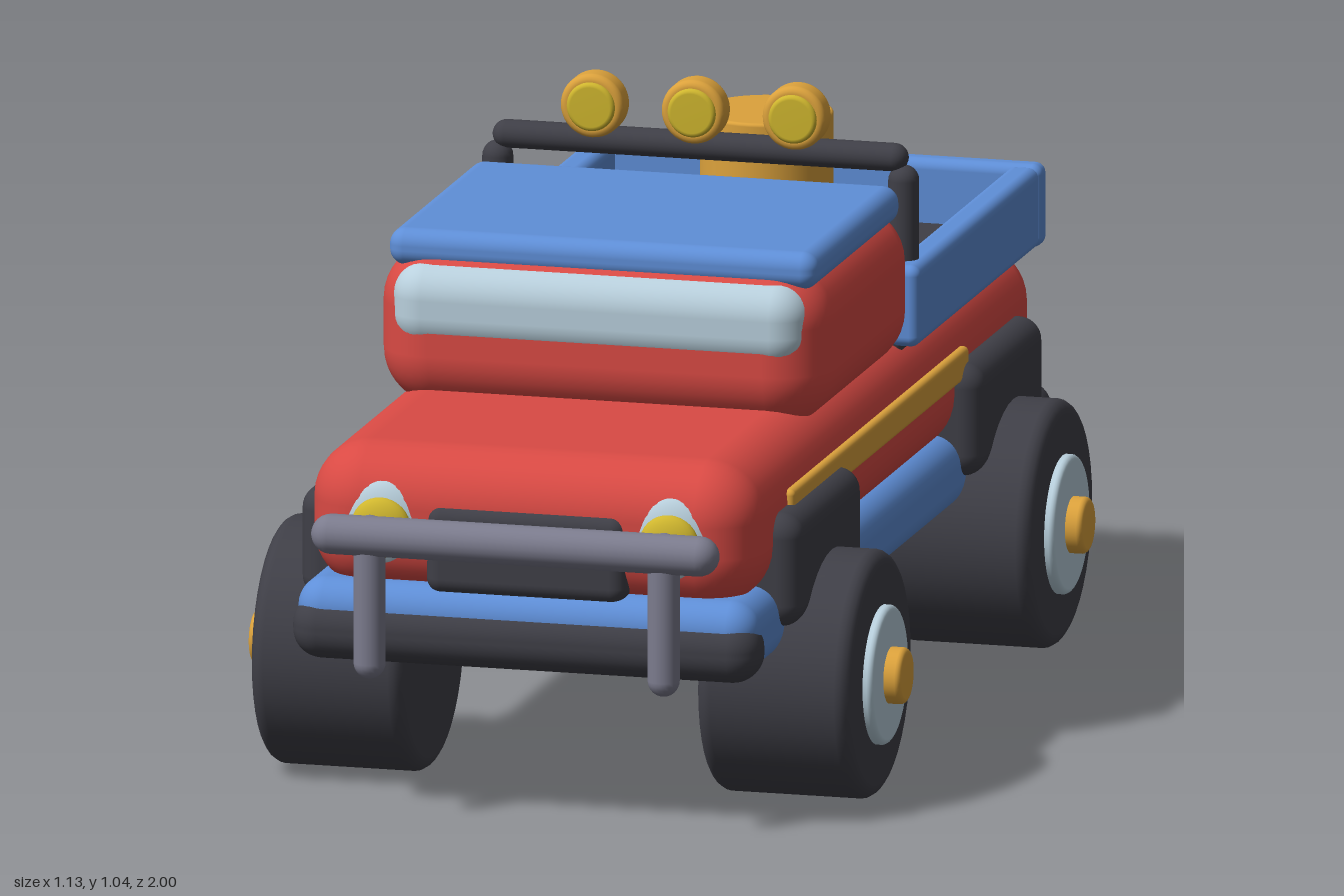
import * as THREE from 'three';
import { RoundedBoxGeometry } from 'three/addons/geometries/RoundedBoxGeometry.js';

const mat = (name, color) => Object.assign(new THREE.MeshStandardMaterial({ color }), { name });

export function createModel() {
  const model = new THREE.Group();
  model.name = 'pickupTruck';
  const red = mat('red paint', 0xd94a44);
  const blue = mat('blue paint', 0x5f8fd8);
  const glass = mat('pale blue', 0xb9d0dd);
  const dark = mat('dark rubber', 0x3f3f47);
  const gold = mat('gold', 0xdca23c);
  const yellow = mat('yellow lens', 0xcfb62e);
  const grey = mat('grey metal', 0x7c7c8e);

  const add = (name, geo, material, x = 0, y = 0, z = 0) => {
    const m = new THREE.Mesh(geo, material);
    m.name = name;
    m.position.set(x, y, z);
    model.add(m);
    return m;
  };
  // rounded box given by its limits on each axis
  const box = (name, material, [x0, x1], [y0, y1], [z0, z1], r) =>
    add(name, new RoundedBoxGeometry(x1 - x0, y1 - y0, z1 - z0, 5, r), material,
      (x0 + x1) / 2, (y0 + y1) / 2, (z0 + z1) / 2);
  // disc with bevelled rims along y, centred on the origin
  const disc = (r, h, b) => {
    const pts = [new THREE.Vector2(0, -h / 2)];
    for (const s of [-1, 1]) {
      for (let i = 0; i <= 4; i++) {
        const a = (s < 0 ? -Math.PI / 2 : 0) + (i / 4) * Math.PI / 2;
        pts.push(new THREE.Vector2(r - b + b * Math.cos(a), s * (h / 2 - b) + b * Math.sin(a)));
      }
    }
    pts.push(new THREE.Vector2(0, h / 2));
    return new THREE.LatheGeometry(pts, 40);
  };
  // capsule of total length len along y
  const rod = (r, len) => new THREE.CapsuleGeometry(r, len - 2 * r, 6, 20);

  // Chassis and body
  box('chassis', blue, [-0.4, 0.4], [0.27, 0.4], [-0.93, 0.92], 0.05);
  box('body', red, [-0.39, 0.39], [0.37, 0.625], [-0.945, 0.9], 0.1);
  box('cabin', red, [-0.39, 0.39], [0.585, 0.865], [-0.17, 0.46], 0.1);
  box('roof', blue, [-0.372, 0.372], [0.828, 0.892], [-0.13, 0.422], 0.028);
  box('windshield', glass, [-0.362, 0.362], [0.692, 0.842], [0.3, 0.466], 0.06);
  box('rearWindow', glass, [-0.362, 0.362], [0.692, 0.842], [-0.176, -0.01], 0.06);

  // Cargo bed
  box('bedFloor', dark, [-0.36, 0.36], [0.58, 0.645], [-0.9, -0.16], 0.015);
  box('tailgate', blue, [-0.398, 0.398], [0.605, 0.748], [-0.96, -0.913], 0.018);
  for (const s of [-1, 1]) {
    box('bedWall', blue, [s * 0.367 - 0.028, s * 0.367 + 0.028], [0.605, 0.745], [-0.925, -0.15], 0.018);
  }
  add('barrel', disc(0.112, 0.26, 0.006), gold, 0, 0.755, -0.632);

  // Roll bar with three lamps
  add('rollBarTop', rod(0.024, 0.72), dark, 0, 0.917, -0.213).rotation.z = Math.PI / 2;
  for (const s of [-1, 1]) add('rollBarPost', rod(0.026, 0.31), dark, s * 0.352, 0.75, -0.213);
  for (const x of [-0.175, 0, 0.175]) {
    add('lampHousing', disc(0.055, 0.052, 0.012), gold, x, 0.985, -0.182).rotation.x = Math.PI / 2;
    add('lampLens', disc(0.042, 0.03, 0.008), yellow, x, 0.985, -0.164).rotation.x = Math.PI / 2;
  }

  // Front end and bumpers
  box('grille', dark, [-0.175, 0.175], [0.385, 0.54], [0.82, 0.91], 0.028);
  box('frontBumper', dark, [-0.406, 0.406], [0.262, 0.37], [0.825, 0.932], 0.05);
  box('rearBumper', dark, [-0.406, 0.406], [0.262, 0.37], [-1, -0.89], 0.05);
  add('bullBar', rod(0.034, 0.706), grey, 0, 0.494, 0.964).rotation.z = Math.PI / 2;

  for (const s of [-1, 1]) {
    add('bullBarPost', rod(0.027, 0.28), grey, s * 0.255, 0.388, 0.956);
    const rim = add('headlightRim', new THREE.SphereGeometry(0.076, 28, 18), glass, s * 0.25, 0.5, 0.878);
    rim.scale.z = 0.42;
    const lens = add('headlightLens', new THREE.SphereGeometry(0.052, 24, 16), yellow, s * 0.25, 0.495, 0.902);
    lens.scale.z = 0.42;
    const tail = add('tailLight', new THREE.SphereGeometry(0.058, 24, 16), red, s * 0.27, 0.508, -0.942);
    tail.scale.z = 0.5;
    box('sideStripe', gold, [s * 0.39 - 0.012, s * 0.39 + 0.012], [0.49, 0.545], [-0.45, 0.665], 0.01);

    // Wheels and fenders
    for (const z of [0.546, -0.607]) {
      box('fender', dark, [s * 0.37 - 0.065, s * 0.37 + 0.065], [0.325, 0.52], [z - 0.211, z + 0.211], 0.04);
      const part = (name, geo, material, x) =>
        (add(name, geo, material, s * x, 0.21, z).rotation.z = Math.PI / 2);
      part('tire', disc(0.21, 0.266, 0.025), dark, 0.387);
      part('wheelRim', disc(0.118, 0.06, 0.01), glass, 0.507);
      part('hubCap', disc(0.048, 0.06, 0.01), gold, 0.536);
    }
  }
  return model;
}
